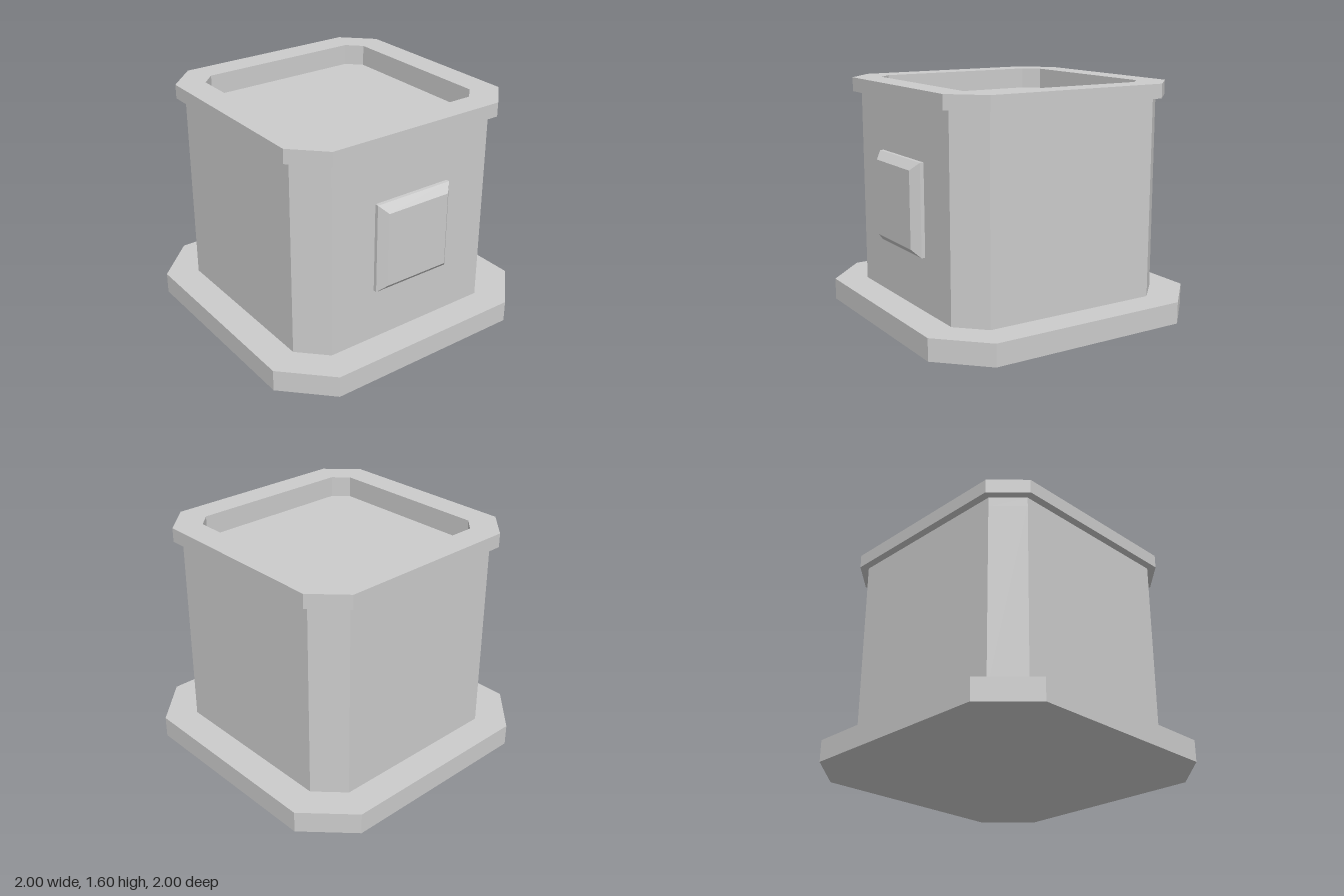
import * as THREE from 'three';

// Octagon with half width h whose straight sides run from -s to s (counterclockwise from above)
function octagon(h, s) {
  return [[h, s], [h, -s], [s, -h], [-s, -h], [-h, -s], [-h, s], [-s, h], [s, h]];
}

function rectangle(w, d) {
  return [[w, d], [w, -d], [-w, -d], [-w, d]];
}

// Joins outlines at successive heights and caps both ends
function loft(name, levels) {
  const pos = [];
  const rings = levels.map(([y, outline]) => outline.map(([x, z]) => [x, y, z]));
  const n = rings[0].length;
  const tri = (a, b, c) => pos.push(...a, ...b, ...c);
  for (let r = 0; r < rings.length - 1; r++) {
    const lo = rings[r], hi = rings[r + 1];
    for (let i = 0; i < n; i++) {
      const j = (i + 1) % n;
      tri(lo[i], lo[j], hi[j]);
      tri(lo[i], hi[j], hi[i]);
    }
  }
  const first = rings[0], last = rings[rings.length - 1];
  for (let i = 1; i < n - 1; i++) {
    tri(first[0], first[i + 1], first[i]);
    tri(last[0], last[i], last[i + 1]);
  }
  const geometry = new THREE.BufferGeometry();
  geometry.setAttribute('position', new THREE.Float32BufferAttribute(pos, 3));
  geometry.computeVertexNormals();
  const mesh = new THREE.Mesh(geometry, new THREE.MeshStandardMaterial({ color: 0xcccccc, flatShading: true }));
  mesh.name = name;
  return mesh;
}

export function createModel() {
  const model = new THREE.Group();
  model.name = 'planterBox';

  // Wide foot with a shallow tapered underside
  model.add(loft('base', [
    [0, octagon(0.79, 0.615)],
    [0.022, octagon(1, 0.705)],
    [0.17, octagon(1, 0.705)],
  ]));

  // Chamfered square body
  model.add(loft('body', [
    [0.17, octagon(0.79, 0.615)],
    [1.44, octagon(0.79, 0.615)],
  ]));

  // Upper walls and rim, turning inward to the sunken top
  model.add(loft('rim', [
    [1.44, octagon(0.79, 0.615)],
    [1.505, octagon(0.79, 0.615)],
    [1.505, octagon(0.843, 0.643)],
    [1.6, octagon(0.843, 0.643)],
    [1.6, octagon(0.66, 0.565)],
    [1.455, octagon(0.66, 0.565)],
  ]));

  // Bevelled plaque on the front
  const plaque = loft('frontPlaque', [
    [0.78, rectangle(0.287, 0.306)],
    [0.815, rectangle(0.287, 0.306)],
    [0.865, rectangle(0.235, 0.254)],
  ]);
  plaque.rotation.x = Math.PI / 2;
  plaque.position.y = 0.836;
  model.add(plaque);

  return model;
}
